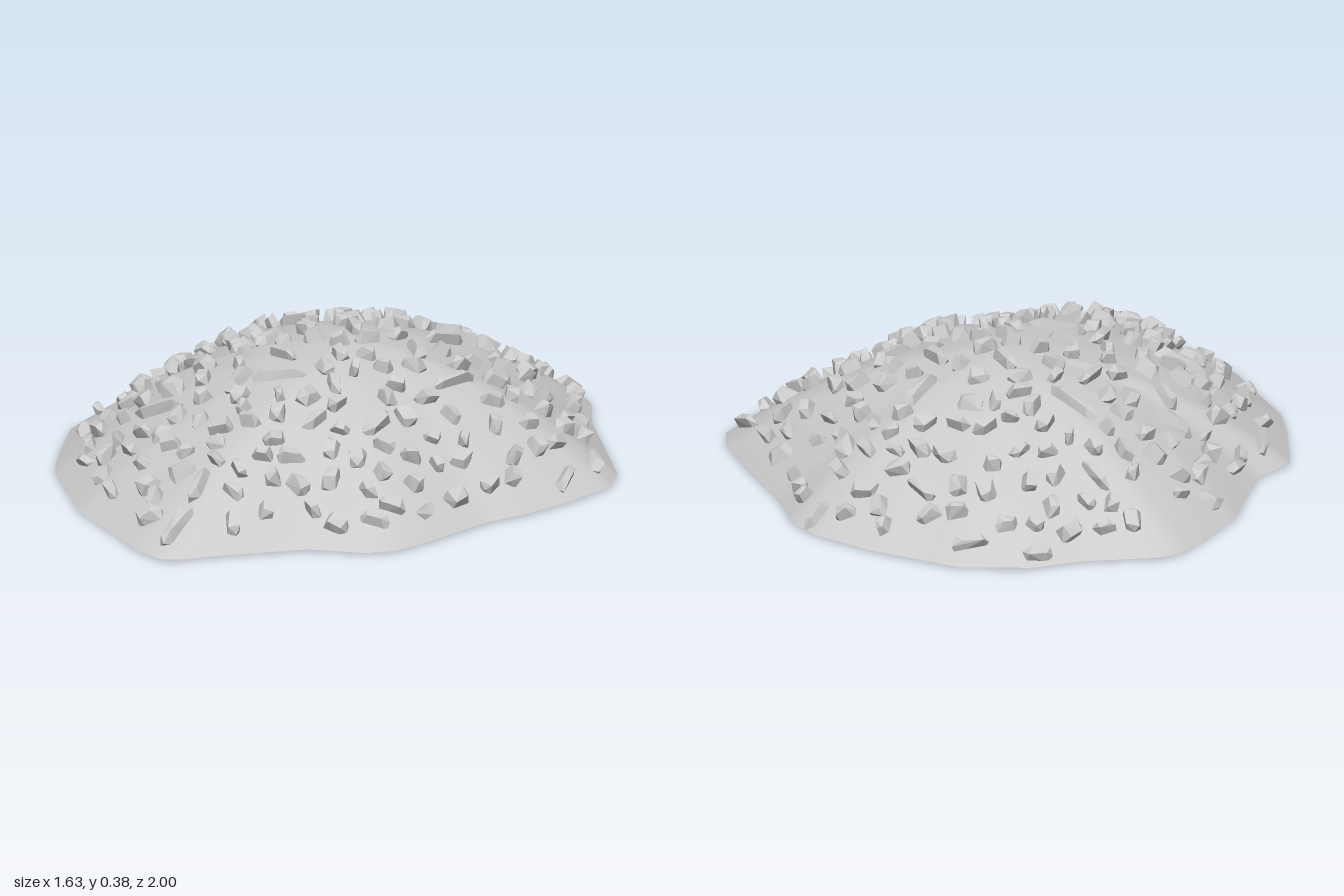
import * as THREE from 'three';
import { mergeGeometries } from 'three/addons/utils/BufferGeometryUtils.js';
import { ConvexGeometry } from 'three/addons/geometries/ConvexGeometry.js';

const CENTRE = { x: 0.03, z: -0.08 };
const PEAK = 0.335;

// Ground outline as x, z pairs
const OUTLINE = [
  [0.07, -1], [0.28, -0.97], [0.37, -0.9], [0.52, -0.79], [0.66, -0.64], [0.71, -0.53], [0.72, -0.35],
  [0.77, -0.1], [0.815, 0.13], [0.8, 0.24], [0.69, 0.39], [0.56, 0.52], [0.46, 0.59], [0.3, 0.78],
  [0.21, 0.87], [0.13, 0.9], [-0.05, 0.87], [-0.33, 0.95], [-0.45, 1], [-0.54, 0.91], [-0.62, 0.75],
  [-0.73, 0.54], [-0.78, 0.32], [-0.815, 0.17], [-0.81, 0.02], [-0.785, -0.23], [-0.68, -0.33],
  [-0.63, -0.47], [-0.57, -0.66], [-0.45, -0.84], [-0.37, -0.94], [-0.31, -0.965], [-0.08, -0.965],
];

// Long stones: x, z, length, heading in degrees
const LONG_STONES = [
  [-0.16, -0.7, 0.13, 65], [-0.13, -0.4, 0.18, 50], [-0.43, -0.32, 0.13, 30], [0.29, -0.24, 0.16, -45],
  [-0.2, -0.21, 0.15, -60], [0.04, -0.17, 0.14, 75], [-0.42, -0.18, 0.14, 65], [0.33, 0.1, 0.18, -50],
  [0.22, -0.05, 0.12, 70], [-0.51, 0.15, 0.16, 15], [-0.16, 0.17, 0.17, 10], [-0.28, 0.15, 0.16, -70],
  [-0.37, 0.7, 0.16, -75], [-0.43, 0.87, 0.17, -60], [-0.27, 0.83, 0.1, 80], [0.67, 0.32, 0.12, -80],
  [0.74, 0.17, 0.12, 65], [0.35, -0.66, 0.13, 65], [0.64, -0.58, 0.11, -35], [0.05, -0.96, 0.09, 0],
  [0.24, -0.9, 0.11, 0], [-0.05, 0.41, 0.1, -60], [0.13, 0.41, 0.14, -60], [0.14, 0.79, 0.09, 10],
  [-0.7, -0.21, 0.1, 80], [-0.63, 0.53, 0.09, 80], [0, 0.23, 0.1, 80], [-0.6, -0.38, 0.08, -60],
  [-0.16, 0.02, 0.13, 50],
];

let seed = 12345;
function random(min = 0, max = 1) {
  seed = (seed * 1664525 + 1013904223) % 4294967296;
  return min + (max - min) * seed / 4294967296;
}

// Distance from the centre to the outline in a direction
function edgeRadius(angle) {
  const c = Math.cos(angle), s = Math.sin(angle);
  let radius = 0;
  OUTLINE.forEach(([ax, az], i) => {
    const [bx, bz] = OUTLINE[(i + 1) % OUTLINE.length];
    const px = ax - CENTRE.x, pz = az - CENTRE.z, ex = bx - ax, ez = bz - az;
    const det = c * ez - s * ex;
    if (Math.abs(det) < 1e-9) return;
    const t = (px * ez - pz * ex) / det;
    const u = (px * s - pz * c) / det;
    if (t > 0 && u >= -1e-6 && u <= 1 + 1e-6) radius = Math.max(radius, t);
  });
  return radius;
}

// 0 at the summit, 1 on the outline
function edgeFraction(x, z) {
  const dx = x - CENTRE.x, dz = z - CENTRE.z;
  return Math.hypot(dx, dz) / edgeRadius(Math.atan2(dz, dx));
}

const profile = (f) => PEAK * (1 - Math.pow(Math.min(f, 1), 1.8));
const heightAt = (x, z) => profile(edgeFraction(x, z));

// Domed upper surface made of shrinking copies of the outline
function moundGeometry(segments = 144, rings = 20) {
  const positions = [CENTRE.x, PEAK, CENTRE.z], indices = [];
  const vertex = (ring, i) => 1 + (ring - 1) * segments + (i % segments);
  for (let ring = 1; ring <= rings; ring++) {
    const f = ring / rings;
    for (let i = 0; i < segments; i++) {
      const a = i / segments * Math.PI * 2, r = edgeRadius(a) * f;
      positions.push(CENTRE.x + Math.cos(a) * r, profile(f), CENTRE.z + Math.sin(a) * r);
      if (ring === 1) indices.push(0, vertex(1, i + 1), vertex(1, i));
      else {
        const a0 = vertex(ring - 1, i), a1 = vertex(ring - 1, i + 1);
        const b0 = vertex(ring, i), b1 = vertex(ring, i + 1);
        indices.push(a0, a1, b1, a0, b1, b0);
      }
    }
  }
  const geometry = new THREE.BufferGeometry();
  geometry.setAttribute('position', new THREE.Float32BufferAttribute(positions, 3));
  geometry.setIndex(indices);
  geometry.computeVertexNormals();
  return geometry;
}

// Angular chip: an irregular block with a narrower top and pointed ends
function stoneGeometry(length, width, height) {
  const points = [];
  for (const x of [-1, 1]) for (const y of [-1, 1]) for (const z of [-1, 1]) {
    const taper = y > 0 ? random(0.45, 0.85) : random(0.75, 1);
    points.push(new THREE.Vector3(
      x * length / 2 * taper * random(0.75, 1),
      y * height / 2 * random(0.7, 1.1),
      z * width / 2 * taper * random(0.65, 1)));
  }
  for (const x of [-1, 1]) {
    points.push(new THREE.Vector3(x * length / 2, random(-0.2, 0.2) * height, random(-0.3, 0.3) * width));
  }
  const geometry = new ConvexGeometry(points);
  geometry.deleteAttribute('uv');
  return geometry;
}

// Lay a stone on the slope, partly sunk in
function placeStone(geometry, x, z, heading, lift, tilt) {
  const e = 0.03;
  const normal = new THREE.Vector3(
    heightAt(x - e, z) - heightAt(x + e, z), 2 * e, heightAt(x, z - e) - heightAt(x, z + e)).normalize();
  const slope = new THREE.Quaternion().setFromUnitVectors(new THREE.Vector3(0, 1, 0), normal);
  const turn = new THREE.Quaternion().setFromEuler(
    new THREE.Euler(random(-tilt, tilt), -heading, random(-tilt, tilt), 'YXZ'));
  const position = new THREE.Vector3(x, heightAt(x, z), z).addScaledVector(normal, lift);
  const matrix = new THREE.Matrix4().compose(position, slope.multiply(turn), new THREE.Vector3(1, 1, 1));
  return geometry.applyMatrix4(matrix);
}

export function createModel() {
  const model = new THREE.Group();
  model.name = 'rubbleMound';

  const earth = new THREE.MeshStandardMaterial({ color: 0xcccccc });
  const rock = new THREE.MeshStandardMaterial({ color: 0xcccccc, flatShading: true });

  const mound = new THREE.Mesh(moundGeometry(), earth);
  mound.name = 'mound';
  model.add(mound);

  // Flat underside
  const base = new THREE.ShapeGeometry(new THREE.Shape(OUTLINE.map(([x, z]) => new THREE.Vector2(x, z))));
  base.rotateX(Math.PI / 2);
  const underside = new THREE.Mesh(base, earth);
  underside.name = 'underside';
  model.add(underside);

  // Long stones
  const taken = [];
  const longStones = LONG_STONES.map(([x, z, length, degrees]) => {
    taken.push([x, z, length * 0.35]);
    return placeStone(stoneGeometry(length, random(0.04, 0.055), 0.045),
      x, z, THREE.MathUtils.degToRad(degrees), 0.008, 0.08);
  });
  const longMesh = new THREE.Mesh(mergeGeometries(longStones), rock);
  longMesh.name = 'longStones';
  model.add(longMesh);

  // Small stones, kept apart and away from the rim
  const smallStones = [];
  for (let tries = 0; tries < 6000 && smallStones.length < 175; tries++) {
    const x = random(-0.8, 0.8), z = random(-1, 1);
    const bareCorner = x < -0.25 && z < -0.7;
    if (bareCorner || edgeFraction(x, z) > 0.92) continue;
    if (taken.some(([tx, tz, r]) => Math.hypot(x - tx, z - tz) < r + 0.045)) continue;
    taken.push([x, z, 0.03]);
    const length = random(0.05, 0.085);
    const stone = stoneGeometry(length, length * random(0.6, 0.9), random(0.04, 0.06));
    smallStones.push(placeStone(stone, x, z, random(0, Math.PI * 2), 0.01, 0.3));
  }
  const smallMesh = new THREE.Mesh(mergeGeometries(smallStones), rock);
  smallMesh.name = 'smallStones';
  model.add(smallMesh);

  return model;
}
